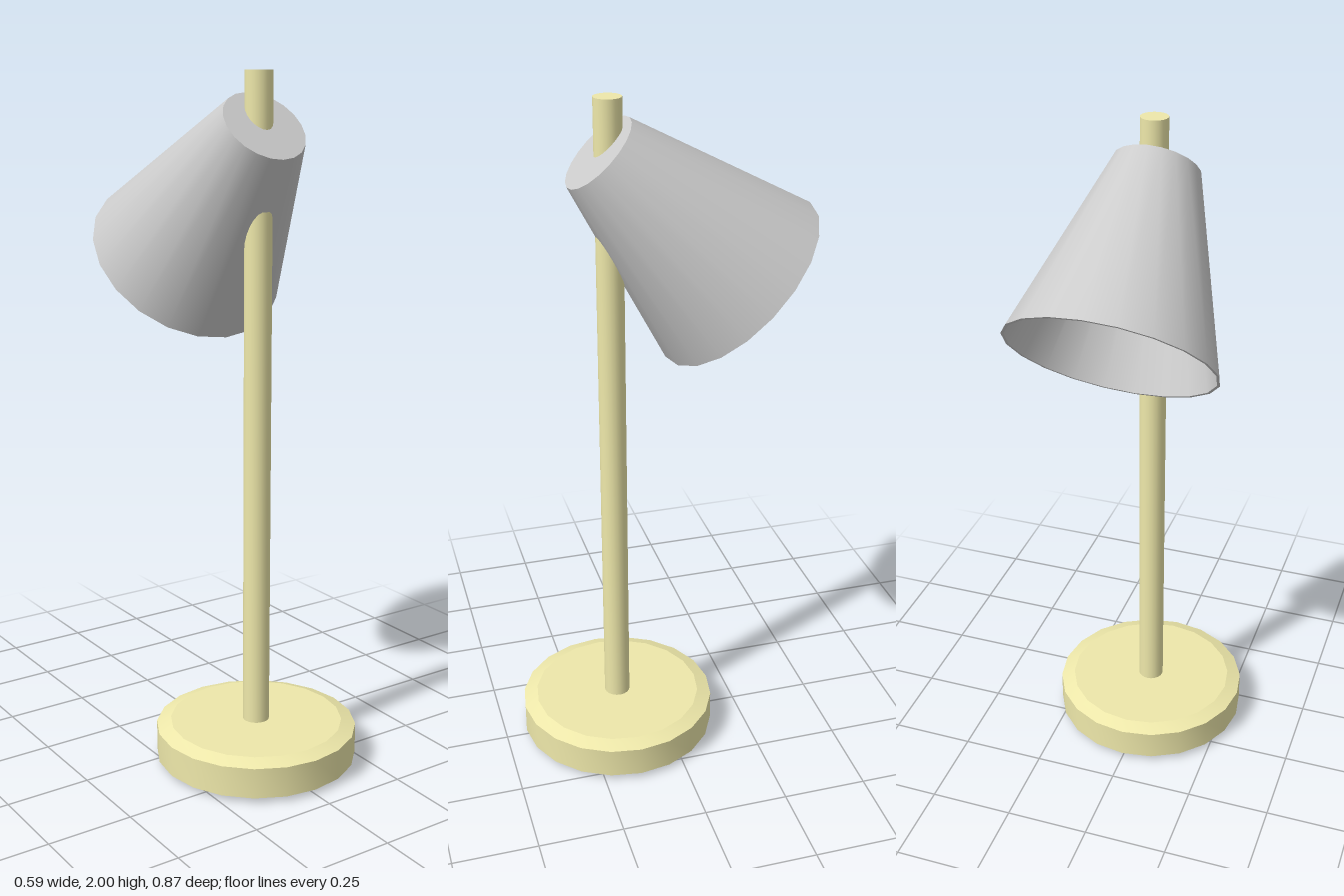
import * as THREE from 'three';
import { toCreasedNormals } from 'three/addons/utils/BufferGeometryUtils.js';

const SIDES = 20;

// Turned part from [radius, height] pairs, with sharp rims and smooth sides
function turned(name, profile, material) {
  const points = profile.map(([r, y]) => new THREE.Vector2(r, y));
  const mesh = new THREE.Mesh(toCreasedNormals(new THREE.LatheGeometry(points, SIDES), 0.33), material);
  mesh.name = name;
  return mesh;
}

export function createModel() {
  const model = new THREE.Group();
  model.name = 'deskLamp';
  const yellow = new THREE.MeshStandardMaterial({ color: 0xeee8aa });
  const grey = new THREE.MeshStandardMaterial({ color: 0xcccccc });

  // Round base with a bevelled top edge, and the pole through it
  const base = turned('base', [[0, 0.015], [0.297, 0.015], [0.297, 0.105], [0.255, 0.12], [0, 0.12]], yellow);
  const pole = turned('pole', [[0, 0], [0.039, 0], [0.039, 2], [0, 2]], yellow);
  base.position.z = pole.position.z = 0.14;

  // Head tilted back; its local y runs from the open mouth to the closed end
  const head = new THREE.Group();
  head.name = 'lampHead';
  head.position.set(0, 1.46, -0.227);
  head.rotation.x = Math.PI / 4;

  // Thin-walled conical shade: inside from the closed end, round the rim, up the outside
  const length = 0.558;
  const shade = turned('shade', [
    [0, length - 0.008], [0.117, length - 0.008], [0.288, 0],
    [0.296, 0], [0.123, length], [0, length],
  ], grey);

  const bulb = new THREE.Mesh(new THREE.SphereGeometry(0.102, 24, 16), grey);
  bulb.name = 'bulb';
  bulb.position.y = 0.33;

  head.add(shade, bulb);
  model.add(base, pole, head);
  return model;
}
